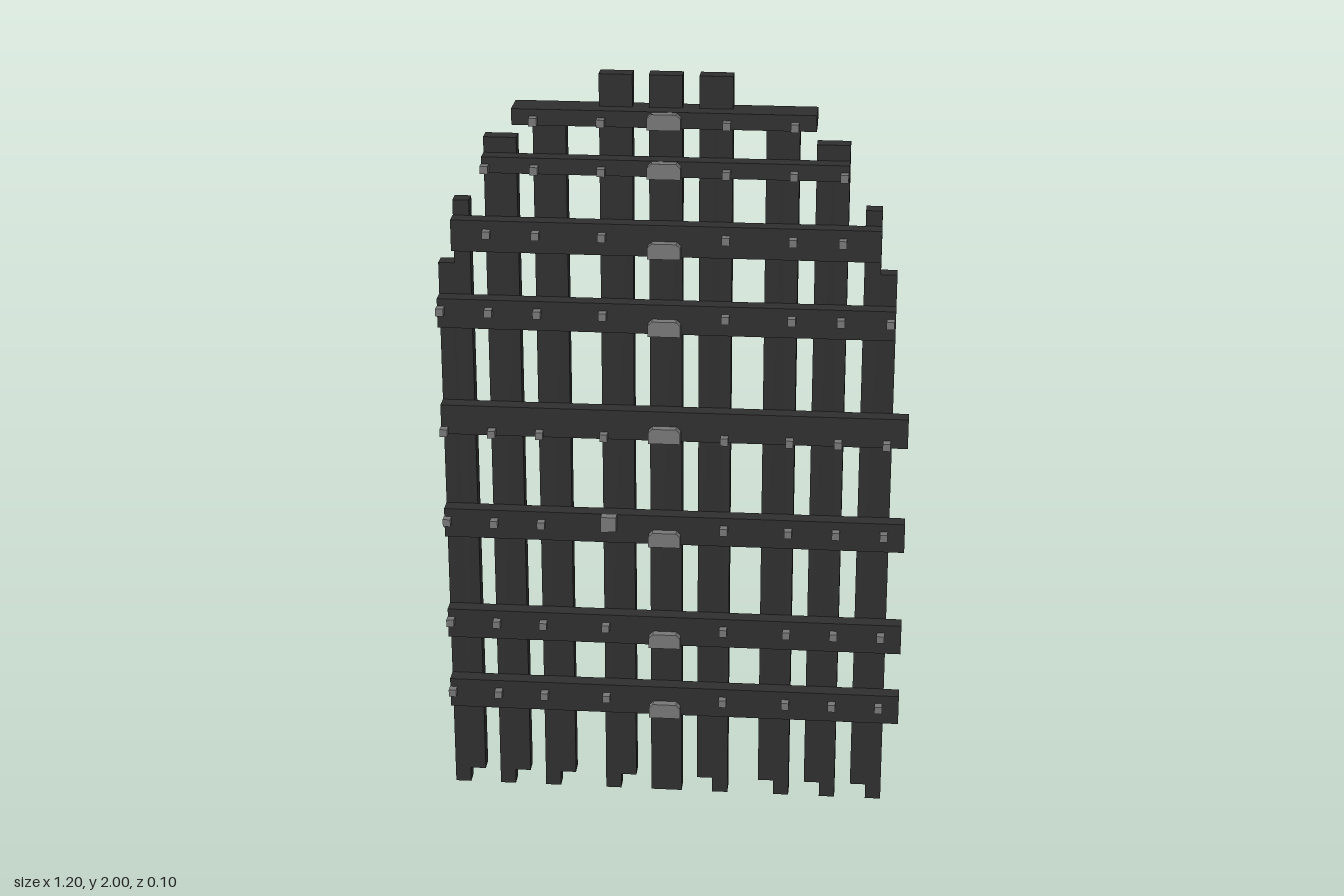
import * as THREE from 'three';

const wood = new THREE.MeshStandardMaterial({ color: 0x2f2f2f });
wood.name = 'dark timber';
const metal = new THREE.MeshStandardMaterial({ color: 0x787878 });
metal.name = 'grey metal';

const BACK = -0.053, MID = -0.012, FRONT = 0.029, STUD = 0.051;

function box(name, x0, x1, y0, y1, z0, z1, material) {
  const mesh = new THREE.Mesh(new THREE.BoxGeometry(x1 - x0, y1 - y0, z1 - z0), material);
  mesh.position.set((x0 + x1) / 2, (y0 + y1) / 2, (z0 + z1) / 2);
  mesh.name = name;
  return mesh;
}

// Outline in the front plane, pushed from z0 to z1
function slab(name, points, z0, z1, material) {
  const clean = points.filter(([x, y], i) => {
    const [px, py] = points[(i + points.length - 1) % points.length];
    return x !== px || y !== py;
  });
  const shape = new THREE.Shape(clean.map(([x, y]) => new THREE.Vector2(x, y)));
  const geometry = new THREE.ExtrudeGeometry(shape, { depth: z1 - z0, bevelEnabled: false });
  const mesh = new THREE.Mesh(geometry, material);
  mesh.position.z = z0;
  mesh.name = name;
  return mesh;
}

// Upright: left edge, then bottom and top heights of its left and right halves
const planks = [
  [-0.602, 0, 1.5, 0.042, 1.667],
  [-0.478, 0, 1.833, 0.042, 1.833],
  [-0.353, 0, 1.88, 0.042, 1.88],
  [-0.187, 0, 2, 0.042, 2],
  [-0.063, 0, 2, 0, 2],
  [0.062, 0.042, 2, 0, 2],
  [0.228, 0.042, 1.88, 0, 1.88],
  [0.353, 0.042, 1.833, 0, 1.833],
  [0.478, 0.042, 1.667, 0, 1.5],
];

// Crossbar: left, right, bottom, top, stud height
const bars = [
  [-0.602, 0.602, 0.253, 0.335, 0.302],
  [-0.602, 0.602, 0.461, 0.543, 0.511],
  [-0.602, 0.602, 0.755, 0.835, 0.803],
  [-0.602, 0.602, 1.047, 1.127, 1.057],
  [-0.602, 0.561, 1.339, 1.417, 1.387],
  [-0.561, 0.52, 1.545, 1.627, 1.595],
  [-0.478, 0.436, 1.752, 1.793, 1.765],
  [-0.4, 0.353, 1.877, 1.918, 1.89],
];

const studXs = [-0.593, -0.469, -0.345, -0.178, 0.133, 0.3, 0.424, 0.548];

export function createModel() {
  const gate = new THREE.Group();
  gate.name = 'gate';

  // Uprights with stepped ends
  planks.forEach(([x, b0, t0, b1, t1]) => {
    const m = x + 0.0415, r = x + 0.083;
    gate.add(slab('uprightPlank',
      [[x, b0], [m, b0], [m, b1], [r, b1], [r, t1], [m, t1], [m, t0], [x, t0]],
      BACK, MID, wood));
  });

  bars.forEach(([x0, x1, y0, y1, studY], i) => {
    // The topmost bar is full depth and caps the shorter uprights
    const top = i === bars.length - 1;
    gate.add(box('crossbar', x0, x1, y0, y1, top ? BACK : MID, FRONT, wood));

    // Central bracket with clipped upper corners
    const l = -0.063, r = 0.02, h = y0 + 0.04, c = 0.011;
    gate.add(slab('bracket',
      [[l, y0], [r, y0], [r, h - c], [r - c, h], [l + c, h], [l, h - c]],
      FRONT, STUD, metal));

    // Nail heads
    studXs.filter(x => x > x0 && x < x1).forEach(x => {
      gate.add(box('stud', x - 0.01, x + 0.01, studY - 0.01, studY + 0.01, FRONT, STUD, metal));
    });
  });

  // Latch plate
  gate.add(box('latch', -0.187, -0.147, 0.795, 0.835, FRONT, STUD, metal));

  return gate;
}
